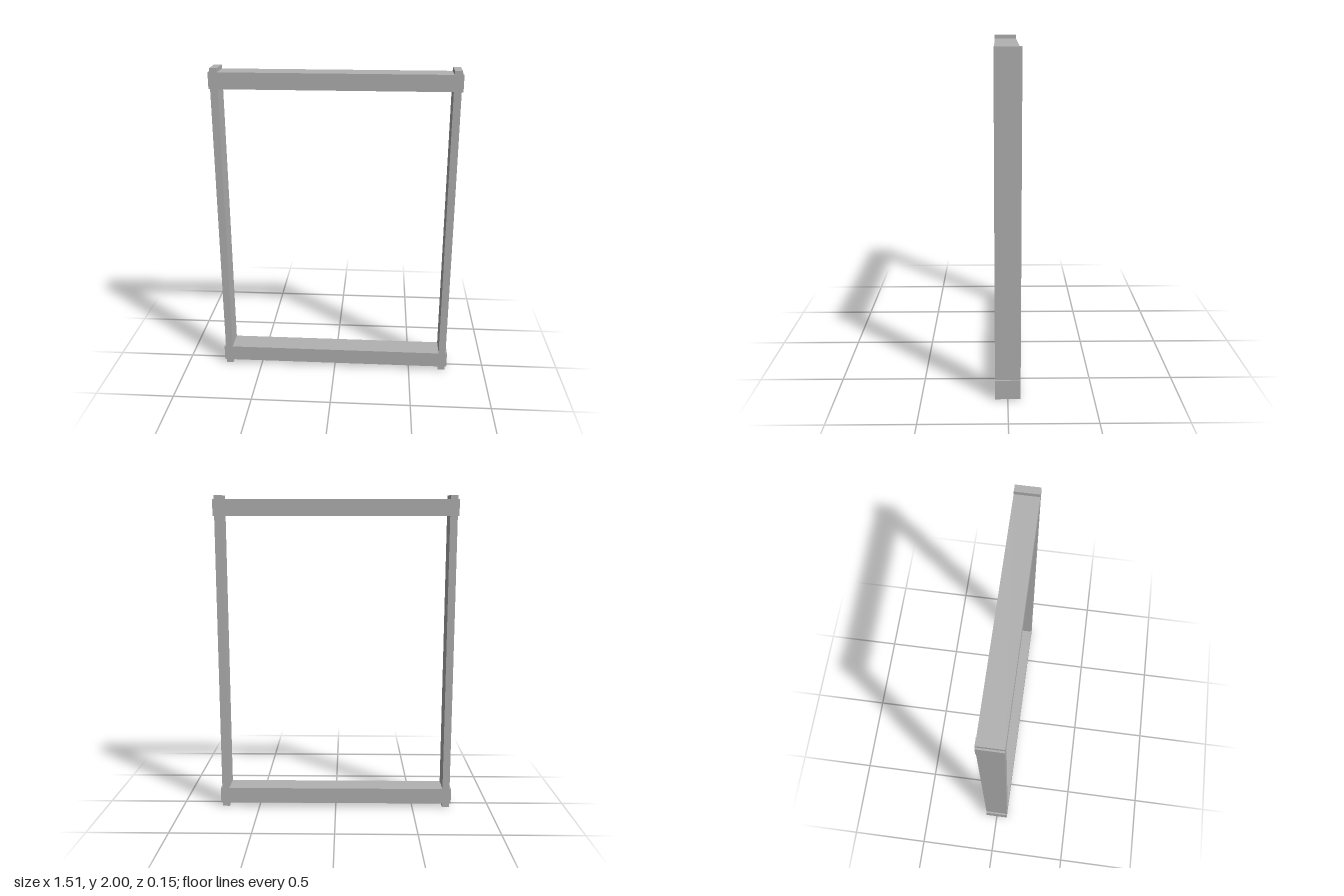
import * as THREE from 'three';

export function createModel() {
  const model = new THREE.Group();
  model.name = 'rectangularFrame';
  const grey = new THREE.MeshStandardMaterial({ color: 0xb2b2b2 });
  grey.name = 'plain grey';

  const depth = 0.148;
  const addBar = (name, width, height, x, y) => {
    const bar = new THREE.Mesh(new THREE.BoxGeometry(width, height, depth), grey);
    bar.name = name;
    bar.position.set(x, y, 0);
    model.add(bar);
  };

  // Thin uprights run the full height, poking past the rails
  for (const side of [-1, 1]) {
    addBar(side > 0 ? 'leftPost' : 'rightPost', 0.046, 2, side * 0.72, 1);
  }

  // Thicker rails cross the posts and overhang them slightly
  for (const end of [-1, 1]) {
    addBar(end > 0 ? 'topRail' : 'bottomRail', 1.506, 0.1, 0, 1 + end * 0.926);
  }

  return model;
}
